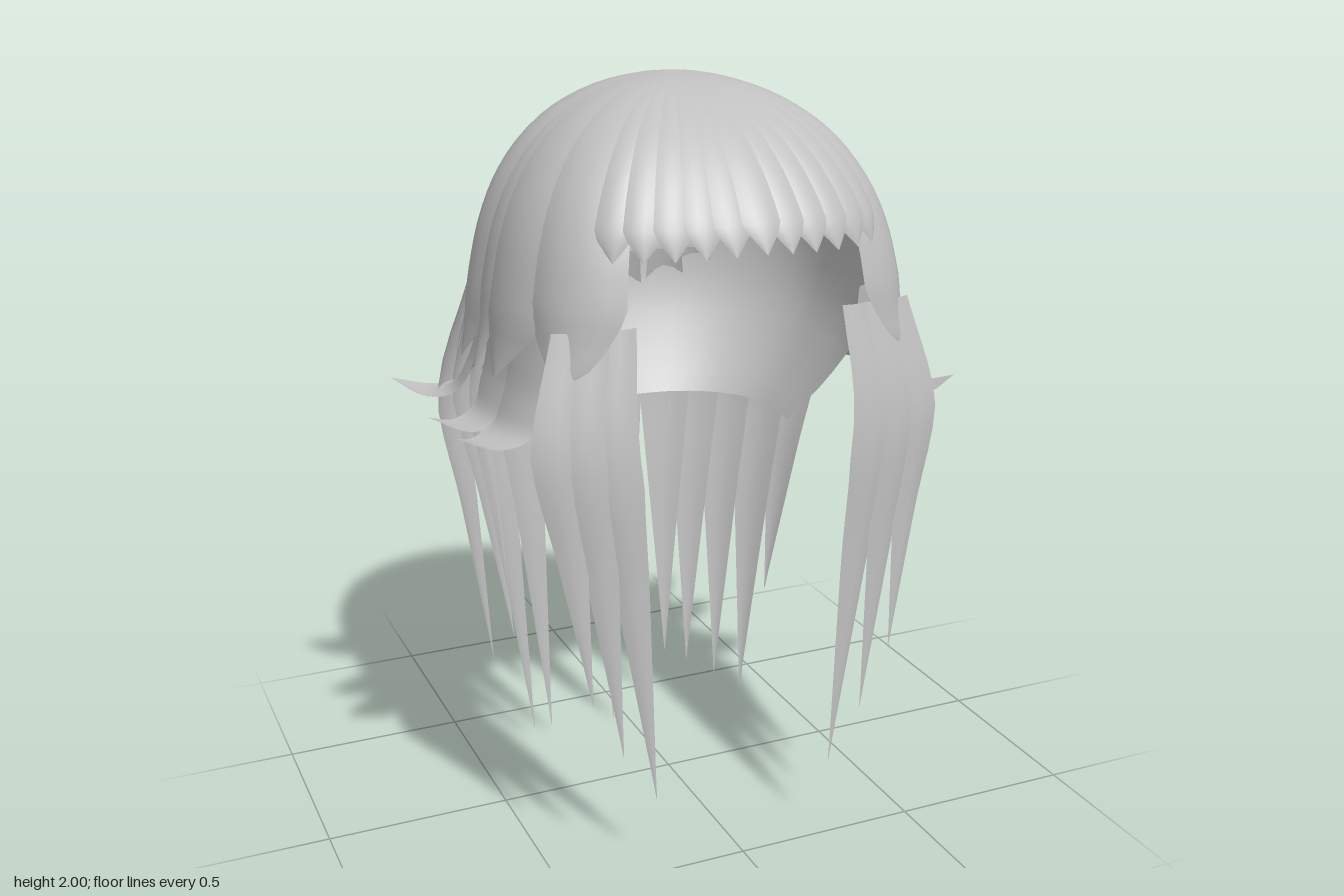
import * as THREE from 'three';
import { ParametricGeometry } from 'three/addons/geometries/ParametricGeometry.js';

const hair = new THREE.MeshStandardMaterial({ color: 0xc0c0c0, side: THREE.DoubleSide });
hair.name = 'hairGrey';

const DEG = Math.PI / 180;
const V = (x, y, z) => new THREE.Vector3(x, y, z);
const wobble = (i) => Math.sin(i * 12.9 + 1.3);

// Profiles run from crown to tip: [fraction of head radius, height]
const profile = (pts) => new THREE.CatmullRomCurve3(pts.map(([f, y]) => V(f * 0.5, y, 0)));
const domeProfile = profile([[0.005, 2], [0.2, 1.99], [0.4, 1.96], [0.59, 1.905], [0.73, 1.835],
  [0.84, 1.745], [0.915, 1.64], [0.96, 1.52], [0.99, 1.41], [1.06, 1.29]]);
const flipProfile = profile([[0.91, 1.5], [0.94, 1.36], [0.98, 1.25], [1.05, 1.18], [1.17, 1.165], [1.33, 1.2]]);
const scalpProfile = profile([[0.81, 1.75], [0.88, 1.55], [0.85, 1.35], [0.7, 1.18], [0.56, 1.07]]);

// Head radius by angle: 0 is the front, 90 degrees is +x; squarer in front, rounder behind
function headRadius(a) {
  const front = Math.cos(a) > 0;
  const p = front ? 3.3 : 2.05;
  const s = Math.abs(Math.sin(a)) / 0.53;
  const c = Math.abs(Math.cos(a)) / (front ? 0.53 : 0.42);
  return Math.pow(s ** p + c ** p, -1 / p);
}

// Surface from fn(s, v, target): s from 1 to -1 across, v from 0 to 1 down
function sheet(parent, name, fn, across, down) {
  const geo = new ParametricGeometry((u, v, p) => fn(1 - 2 * u, v, p), across, down);
  geo.computeVertexNormals();
  const mesh = new THREE.Mesh(geo, hair);
  mesh.name = name;
  parent.add(mesh);
}

// Lock lying on the head, bulging across its width and tapering at the tip
function lock(parent, name, o) {
  const { angle, half, path = domeProfile, end = 1, bulge = 0.03, lift = 0, taper = 0.15, round = 1 } = o;
  sheet(parent, name, (s, v, p) => {
    const q = path.getPointAt(v * end);
    const w = Math.max(0.01, Math.pow(Math.min(1, (1 - v) / taper), round));
    const a = (angle + s * half * w) * DEG;
    const r = headRadius(a) * q.x * 2 * (1 + lift * v) + bulge * (1 - s * s) * v * w;
    p.set(Math.sin(a) * r, q.y, Math.cos(a) * r);
  }, 6, 26);
}

// Long hanging strand: from a tucked-in root through its widest place to a sharp tip
function strand(parent, name, [x0, z0, x1, z1, y1], normal, half, tuck) {
  const mid = 0.42;
  const path = new THREE.CatmullRomCurve3([
    V(x0 * tuck, 1.46, z0 * tuck), V(x0, 1.18, z0),
    V(THREE.MathUtils.lerp(x0, x1, mid), THREE.MathUtils.lerp(1.18, y1, mid), THREE.MathUtils.lerp(z0, z1, mid)),
    V(x1, y1, z1)]);
  const n = normal.normalize();
  const side = V(n.z, 0, -n.x);
  sheet(parent, name, (s, v, p) => {
    const w = half * Math.max(0.01, v < 0.3 ? 0.6 + v * 1.33 : (1 - v) / 0.7);
    p.copy(path.getPointAt(v)).addScaledVector(side, s * w).addScaledVector(n, 0.25 * w * (1 - s * s));
  }, 4, 16);
}

export function createModel() {
  const model = new THREE.Group();
  model.name = 'wig';
  const part = (name) => {
    const g = new THREE.Group();
    g.name = name;
    model.add(g);
    return g;
  };

  // Inner cap with an open face
  const cap = part('innerCap');
  sheet(cap, 'capTop', (s, v, p) => {
    const q = domeProfile.getPointAt(v * 0.57);
    const a = s * Math.PI;
    const r = headRadius(a) * q.x * 2 * 0.95;
    p.set(Math.sin(a) * r, q.y - 0.015, Math.cos(a) * r);
  }, 40, 12);
  sheet(cap, 'capBack', (s, v, p) => {
    const q = scalpProfile.getPointAt(v);
    const open = THREE.MathUtils.lerp(36, 63, v) * DEG;
    const a = Math.PI + s * (Math.PI - open);
    const r = headRadius(a) * q.x * 2;
    p.set(Math.sin(a) * r, q.y, Math.cos(a) * r);
  }, 32, 12);

  // Fringe with short teeth, longer towards the temples
  const fringe = part('fringe');
  for (let i = -5; i <= 5; i++) {
    lock(fringe, 'fringeLock', {
      angle: i * 7.3, half: 5.2, end: 0.63 + 0.006 * Math.abs(i) + 0.012 * wobble(i), bulge: 0.014,
      lift: 0.19 - Math.abs(i) * 0.03, taper: 0.1,
    });
  }

  // Rounded locks beside the face, then the broad upper layer round the sides and back
  const upper = part('upperLayer');
  for (const m of [1, -1]) {
    lock(upper, 'templeLock', { angle: m * 46, half: 13, end: 0.95, bulge: 0.025, lift: 0.02, taper: 0.18, round: 0.6 });
    [69, 94, 119, 143, 167].forEach((a, i) => {
      const k = i + m * 3;
      lock(upper, 'upperLock', {
        angle: m * a, half: 15, end: 0.975 + 0.025 * wobble(k), bulge: 0.025, lift: 0.02 * wobble(k + 5), taper: 0.15,
      });
      lock(upper, 'upperPoint', {
        angle: m * (a + 11), half: 8, bulge: 0.015, lift: 0.035 + 0.03 * wobble(k + 9), taper: 0.2,
      });
    });
  }

  // Middle layer with tips flicked outwards: [angle, lift]
  const flicks = part('flickedLayer');
  const flickList = [[50, -0.16], [64, 0], [90, 0], [112, 0.06], [136, 0.02], [160, 0.05], [184, 0.06], [195, -0.01],
    [228, 0.02], [251, 0.08], [281, 0], [295, 0], [310, -0.16]];
  for (const [angle, lift] of flickList) {
    lock(flicks, 'flickedLock', { angle, half: 13, path: flipProfile, bulge: 0.02, lift, taper: 0.45 });
  }

  // Long strands at the back: [root x, tip x, tip height]
  const back = part('backStrands');
  const backList = [[-0.54, -0.44, 0.31], [-0.48, -0.37, 0.36], [-0.42, -0.31, 0.04], [-0.32, -0.25, 0.03],
    [-0.2, -0.16, 0.38], [-0.08, -0.04, 0], [0.01, 0.03, 0.55], [0.15, 0.13, 0.2], [0.24, 0.2, 0.16],
    [0.33, 0.29, 0.1], [0.43, 0.37, 0.04], [0.52, 0.44, 0.38]];
  for (const [x0, x1, y1] of backList) {
    const z0 = -0.385 * Math.sqrt(1 - (x0 / 0.69) ** 2);
    strand(back, 'backStrand', [x0, z0, x1, z0 * 0.5 - 0.14, y1], V(x0 * 0.5, 0, z0), 0.08, 0.87);
  }

  // Long strands hanging in front of the shoulders
  const front = part('frontStrands');
  for (const m of [1, -1]) {
    for (const [x0, z0, x1, y1] of [[0.35, 0.49, 0.25, 0.22], [0.42, 0.485, 0.34, 0.36], [0.49, 0.47, 0.42, 0.52]]) {
      strand(front, 'frontStrand', [m * x0, z0, m * x1, 0.5, y1], V(m * 0.15, 0, 1), 0.065, 0.9);
    }
  }
  return model;
}
